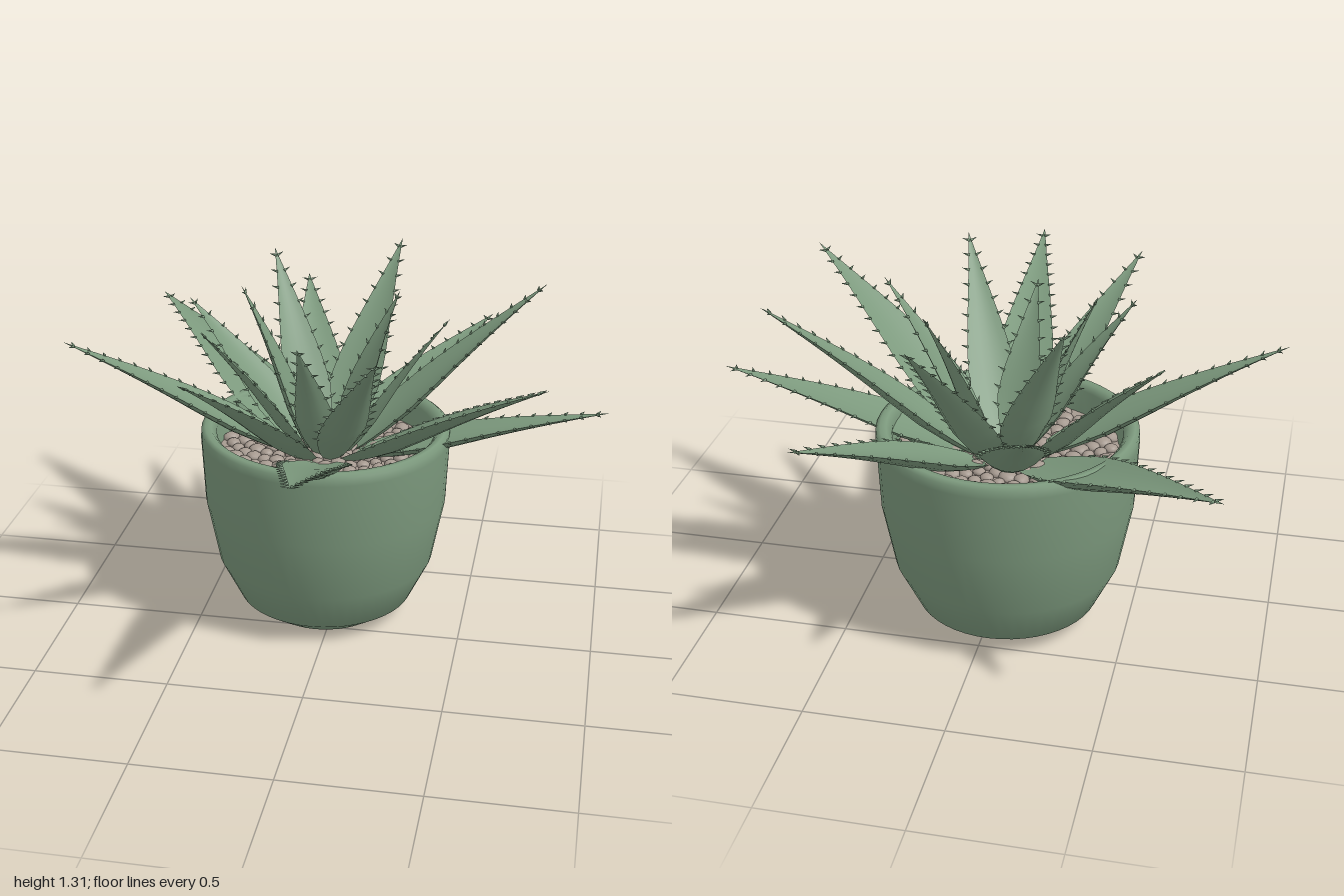
import * as THREE from 'three';
import { mergeGeometries } from 'three/addons/utils/BufferGeometryUtils.js';

const CENTER = new THREE.Vector3(-0.045, 0, -0.21);
const SOIL_Y = 0.65;

// Tip x, y, z, widest half width, distance of the base from the pot centre
const LEAVES = [
  // outer ring
  [-0.87, 0.97, -0.97, 0.135, 0.1], [-0.25, 1.09, -0.96, 0.115, 0.1],
  [0.51, 0.97, -0.94, 0.115, 0.1], [1.0, 0.88, -0.21, 0.11, 0.1],
  [0.05, 1.05, 0.95, 0.115, 0.1], [-1.0, 1.08, -0.05, 0.105, 0.1],
  // middle ring
  [0.15, 1.3, -0.83, 0.105, 0.09], [0.74, 1.26, -0.5, 0.105, 0.09],
  [0.8, 1.17, 0.32, 0.115, 0.09], [-0.41, 1.17, 0.5, 0.095, 0.09],
  [-0.62, 1.14, -0.45, 0.105, 0.09], [0.23, 1.24, 0.37, 0.09, 0.08],
  // inner ring
  [-0.315, 1.31, -0.6, 0.095, 0.06], [0.2, 1.23, -0.41, 0.085, 0.06],
  [0.42, 1.24, -0.11, 0.075, 0.07], [-0.085, 1.18, 0.13, 0.08, 0.05],
  [-0.46, 1.18, 0.02, 0.08, 0.06], [-0.36, 1.28, -0.22, 0.08, 0.05],
];

// Relative half width along a leaf: teardrop base, slender tip
const WIDTHS = [[0, 0.3], [0.06, 0.58], [0.15, 0.83], [0.28, 1], [0.42, 0.9],
  [0.6, 0.63], [0.78, 0.34], [0.92, 0.12], [1, 0.004]];
function widthAt(t) {
  const k = Math.max(1, WIDTHS.findIndex(p => p[0] >= t));
  const [a, b] = [WIDTHS[k - 1], WIDTHS[k]];
  return THREE.MathUtils.lerp(a[1], b[1], (t - a[0]) / (b[0] - a[0]));
}

// Grid surface from a point function; flip turns the faces over
function sheet(rows, cols, point, flip) {
  const pos = [], index = [];
  for (let i = 0; i <= rows; i++) {
    for (let j = 0; j <= cols; j++) pos.push(...point(i / rows, j / cols * 2 - 1).toArray());
  }
  for (let i = 0; i < rows; i++) {
    for (let j = 0; j < cols; j++) {
      const a = i * (cols + 1) + j, b = a + 1, c = a + cols + 1, d = c + 1;
      index.push(...(flip ? [a, c, b, b, c, d] : [a, b, c, b, d, c]));
    }
  }
  const g = new THREE.BufferGeometry();
  g.setAttribute('position', new THREE.Float32BufferAttribute(pos, 3));
  g.setIndex(index);
  g.computeVertexNormals();
  return g;
}

function makeLeaf([x, y, z, half, baseR], material) {
  const tip = new THREE.Vector3(x, y, z);
  const flat = tip.clone().sub(CENTER).setY(0).normalize();
  const base = CENTER.clone().addScaledVector(flat, baseR).setY(SOIL_Y);
  const along = tip.clone().sub(base);
  const length = along.length();
  const dir = along.clone().normalize();
  const side = dir.clone().cross(new THREE.Vector3(0, 1, 0)).normalize();
  const normal = side.clone().cross(dir);

  // Point on the leaf: u runs across it, depth is the bulge below the edges
  const at = (t, u, depth) => {
    const w = half * widthAt(t);
    return base.clone().addScaledVector(along, t)
      .addScaledVector(side, u * w)
      .addScaledVector(normal, 0.02 * Math.sin(Math.PI * t) - depth * w * (1 - u * u));
  };
  const group = new THREE.Group();
  group.name = 'leaf';
  const blade = new THREE.Mesh(mergeGeometries([
    sheet(18, 6, (t, u) => at(t, u, 0.16), false),
    sheet(18, 6, (t, u) => at(t, u, 0.5), true),
  ]), material);
  blade.name = 'leafBlade';
  group.add(blade);

  // Small hooked spines along both edges
  const spines = [];
  const count = Math.round(length * 13);
  for (let i = 0; i < count; i++) {
    const t = 0.22 + 0.74 * i / (count - 1);
    for (const u of [-1, 1]) {
      const aim = side.clone().multiplyScalar(u).addScaledVector(dir, 0.45).normalize();
      const turn = new THREE.Quaternion().setFromUnitVectors(new THREE.Vector3(0, 1, 0), aim);
      const p = at(t, u, 0);
      spines.push(new THREE.ConeGeometry(0.006, 0.03, 5).translate(0, 0.011, 0)
        .applyQuaternion(turn).translate(p.x, p.y, p.z));
    }
  }
  const spineMesh = new THREE.Mesh(mergeGeometries(spines), material);
  spineMesh.name = 'leafSpines';
  group.add(spineMesh);
  return group;
}

// Flattened stones spread over the soil in a spiral
function makePebbles(material) {
  let seed = 7;
  const rand = () => (seed = (seed * 16807) % 2147483647) / 2147483647;
  const stones = [];
  const count = 190;
  for (let i = 0; i < count; i++) {
    const r = 0.385 * Math.sqrt((i + 0.5) / count), a = i * 2.39996;
    const s = 0.022 + 0.012 * rand();
    stones.push(new THREE.IcosahedronGeometry(s, 1).scale(1, 0.65, 0.8 + 0.3 * rand())
      .rotateY(rand() * 6.28)
      .translate(CENTER.x + r * Math.cos(a), SOIL_Y + 0.004, CENTER.z + r * Math.sin(a)));
  }
  const mesh = new THREE.Mesh(mergeGeometries(stones), material);
  mesh.name = 'pebbles';
  return mesh;
}

export function createModel() {
  const green = new THREE.MeshStandardMaterial({ color: 0x7c997d });
  green.name = 'sage green';
  const stone = new THREE.MeshStandardMaterial({ color: 0xa69a90 });
  stone.name = 'pebble grey';

  const model = new THREE.Group();
  model.name = 'pottedSucculent';

  // Pot with a rounded rim and a hollow inside
  const profile = [[0, 0], [0.235, 0], [0.335, 0.07], [0.412, 0.23], [0.458, 0.47],
    [0.469, 0.72], [0.467, 0.752], [0.452, 0.764], [0.43, 0.762], [0.41, 0.74], [0.4, 0.6]];
  const pot = new THREE.Mesh(
    new THREE.LatheGeometry(profile.map(p => new THREE.Vector2(...p)), 48), green);
  pot.name = 'pot';
  pot.position.copy(CENTER);
  model.add(pot);

  // Soil surface and pebbles
  const soil = new THREE.Mesh(new THREE.CylinderGeometry(0.405, 0.405, 0.04, 40), stone);
  soil.name = 'soil';
  soil.position.set(CENTER.x, SOIL_Y - 0.02, CENTER.z);
  model.add(soil, makePebbles(stone));

  // Rosette
  const rosette = new THREE.Group();
  rosette.name = 'rosette';
  for (const leaf of LEAVES) rosette.add(makeLeaf(leaf, green));
  model.add(rosette);
  return model;
}
